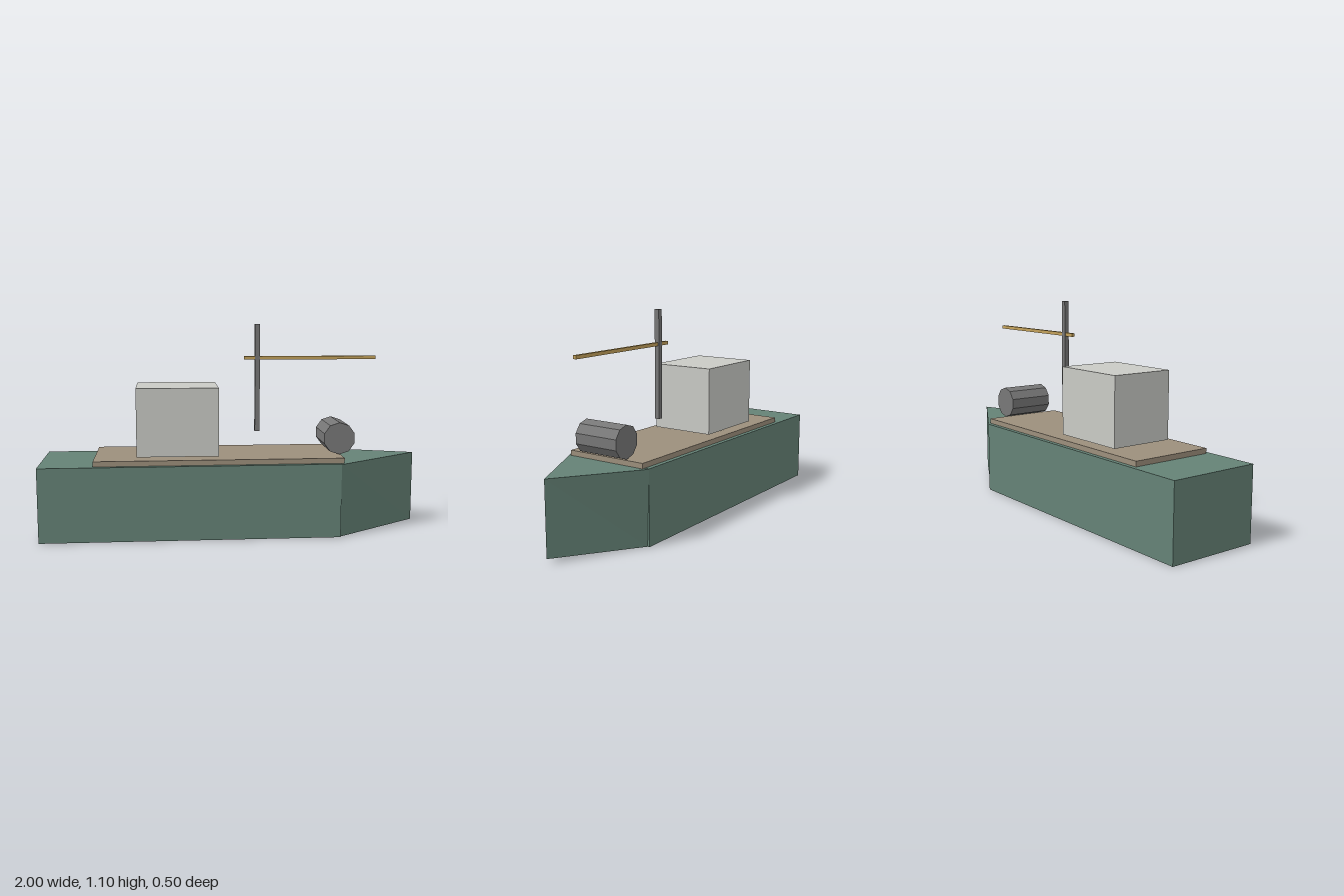
import * as THREE from 'three';

const paint = (name, color) => {
  const m = new THREE.MeshStandardMaterial({ color });
  m.name = name;
  return m;
};

export function createModel() {
  const boat = new THREE.Group();
  boat.name = 'boat';

  const green = paint('hull green', 0x658276);
  const tan = paint('deck tan', 0x9c8f7c);
  const pale = paint('cabin pale grey', 0xc9cac5);
  const grey = paint('metal grey', 0x777777);
  const ochre = paint('boom ochre', 0xc2a05a);

  const add = (name, geometry, material) => {
    const mesh = new THREE.Mesh(geometry, material);
    mesh.name = name;
    boat.add(mesh);
    return mesh;
  };

  // Box given by its x range, y range and half width in z
  const box = (name, x0, x1, y0, y1, halfZ, material) =>
    add(name, new THREE.BoxGeometry(x1 - x0, y1 - y0, halfZ * 2), material)
      .position.set((x0 + x1) / 2, (y0 + y1) / 2, 0);

  box('hull', -1, 0.556, 0, 0.388, 0.249, green);
  box('deck', -0.72, 0.575, 0.388, 0.415, 0.225, tan);
  box('cabin', -0.5, -0.075, 0.425, 0.78, 0.174, pale);
  box('mast', 0.128, 0.154, 0.53, 1.1, 0.013, grey);
  box('boom', 0.07, 0.78, 0.913, 0.931, 0.009, ochre);

  // Bow: triangular wedge, raised at the tip and slightly narrower at the bottom
  const outline = new THREE.Shape();
  outline.moveTo(0.556, -0.249);
  outline.lineTo(1, 0);
  outline.lineTo(0.556, 0.249);
  const bow = new THREE.ExtrudeGeometry(outline, { depth: 0.386, bevelEnabled: false });
  bow.rotateX(-Math.PI / 2);
  const p = bow.attributes.position;
  for (let i = 0; i < p.count; i++) {
    const low = p.getY(i) < 0.1;
    if (p.getX(i) > 0.9) p.setY(i, low ? 0.025 : 0.401);
    else if (low) p.setZ(i, p.getZ(i) * 0.955);
  }
  bow.computeVertexNormals();
  add('bow', bow, green);

  // Ten-sided winch drum lying across the foredeck
  const drum = new THREE.CylinderGeometry(0.085, 0.085, 0.25, 10).toNonIndexed();
  drum.rotateX(Math.PI / 2);
  drum.computeVertexNormals();
  add('winchDrum', drum, grey).position.set(0.567, 0.502, 0);

  return boat;
}
